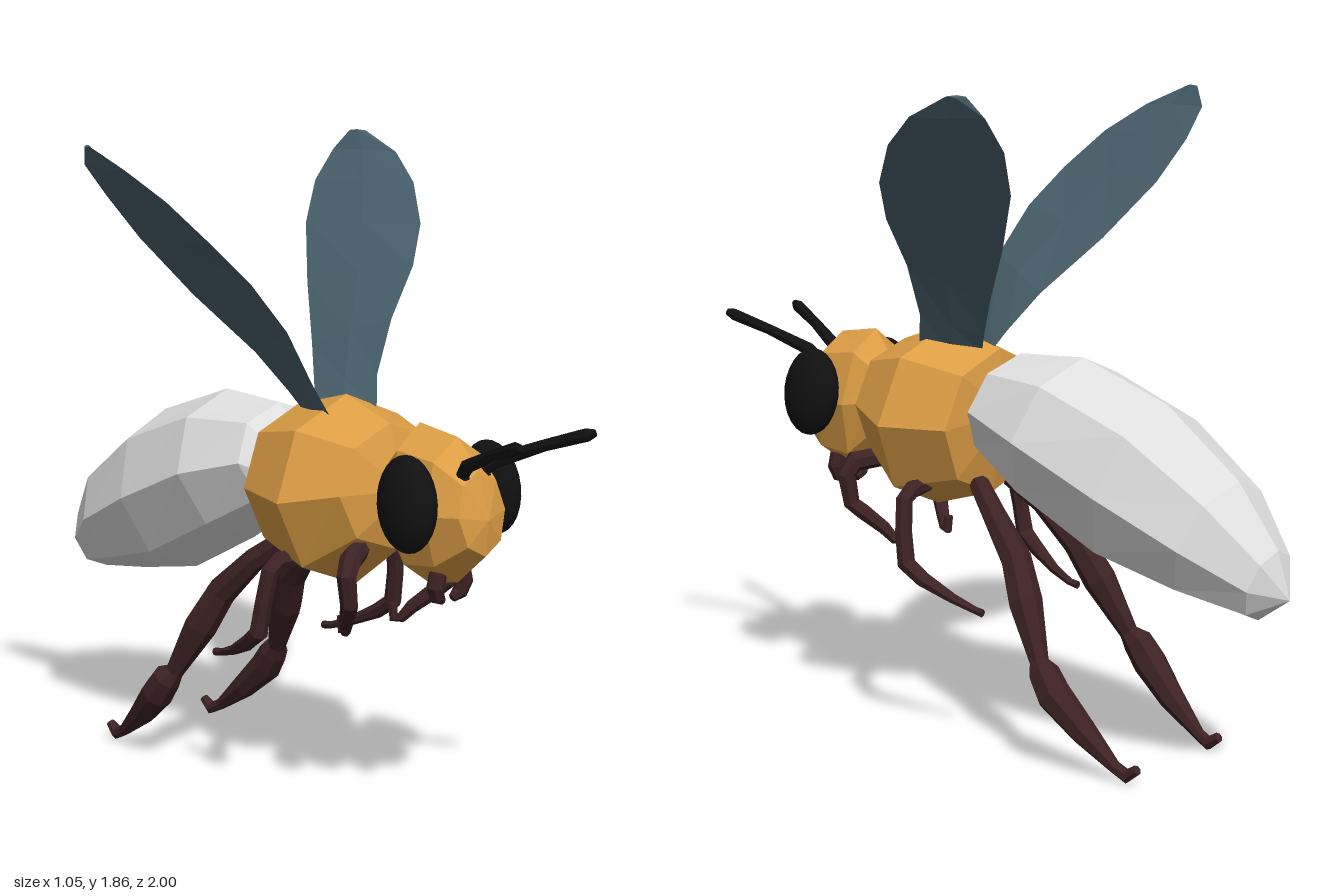
import * as THREE from 'three';

const V = (x, y, z) => new THREE.Vector3(x, y, z);
const mat = (name, color, opts = {}) => {
  const m = new THREE.MeshStandardMaterial({ color, ...opts });
  m.name = name;
  return m;
};

// Faceted skin over a row of closed rings, with a fan to a centre point at each end
function loft(rings, start, end) {
  const pos = [];
  const tri = (...pts) => pts.forEach((p) => pos.push(p.x, p.y, p.z));
  const n = rings[0].length;
  const mid = (r) => r.reduce((a, p) => a.add(p), V(0, 0, 0)).divideScalar(n);
  const first = rings[0], last = rings[rings.length - 1];
  const c0 = start || mid(first), c1 = end || mid(last);
  for (let j = 0; j < n; j++) {
    const k = (j + 1) % n;
    tri(c0, first[k], first[j]);
    for (let i = 0; i < rings.length - 1; i++) {
      const a = rings[i], b = rings[i + 1];
      tri(a[j], a[k], b[j]);
      tri(a[k], b[k], b[j]);
    }
    tri(c1, last[j], last[k]);
  }
  const g = new THREE.BufferGeometry();
  g.setAttribute('position', new THREE.Float32BufferAttribute(pos, 3));
  g.computeVertexNormals();
  return g;
}

// Point ring around a centre, u and v being the half axes
const ring = (c, u, v, n) => Array.from({ length: n }, (_, j) => {
  const a = (j / n) * Math.PI * 2;
  return c.clone().addScaledVector(u, Math.cos(a)).addScaledVector(v, Math.sin(a));
});

// Eight-sided body section rows: [top z, top y, bottom z, bottom y, half width]
function body(rows, start, end) {
  const rings = rows.map(([tz, ty, bz, by, w]) =>
    ring(V(0, (ty + by) / 2, (tz + bz) / 2), V(0, (ty - by) / 2, (tz - bz) / 2), V(w, 0, 0), 8));
  return loft(rings, V(0, ...start), V(0, ...end));
}

// Limb with varying thickness, rows: [x, y, z, radius]
function limb(rows, side, n = 7) {
  const pts = rows.map(([x, y, z]) => V(x * side, y, z));
  let u = null;
  const rings = pts.map((p, i) => {
    const t = pts[Math.min(i + 1, pts.length - 1)].clone().sub(pts[Math.max(i - 1, 0)]).normalize();
    if (!u) u = Math.abs(t.z) < 0.8 ? V(0, 0, 1) : V(0, 1, 0);
    u = u.clone().addScaledVector(t, -u.dot(t)).normalize();
    const r = rows[i][3];
    return ring(p, u.clone().multiplyScalar(r), t.clone().cross(u).multiplyScalar(r), n);
  });
  return loft(rings);
}

// Thin blade, rows: [front edge, back edge]
function blade(rows, side) {
  const edges = rows.map((r) => r.map(([x, y, z]) => V(x * side, y, z)));
  const mids = edges.map(([f, b]) => f.clone().add(b).multiplyScalar(0.5));
  const rings = edges.map(([f, b], i) => {
    const t = mids[Math.min(i + 1, mids.length - 1)].clone().sub(mids[Math.max(i - 1, 0)]);
    const u = f.clone().sub(b).multiplyScalar(0.5);
    return ring(mids[i], u, t.cross(u).normalize().multiplyScalar(0.006), 4);
  });
  return loft(rings);
}

const FRONT_LEG = [
  [0.11, 0.77, 0.38, 0.03], [0.18, 0.76, 0.42, 0.032], [0.205, 0.72, 0.43, 0.028],
  [0.19, 0.635, 0.425, 0.025], [0.17, 0.61, 0.4, 0.024], [0.13, 0.56, 0.35, 0.02],
  [0.11, 0.525, 0.325, 0.015], [0.1, 0.52, 0.305, 0.014], [0.1, 0.565, 0.3, 0.014],
];
const MIDDLE_LEG = [
  [0.12, 0.72, 0.18, 0.025], [0.21, 0.715, 0.16, 0.026], [0.245, 0.69, 0.16, 0.025],
  [0.26, 0.6, 0.15, 0.025], [0.265, 0.51, 0.135, 0.027], [0.255, 0.47, 0.08, 0.023],
  [0.23, 0.425, -0.01, 0.015], [0.215, 0.4, -0.08, 0.011], [0.215, 0.395, -0.11, 0.012],
];
const HIND_LEG = [
  [0.07, 0.73, 0.03, 0.03], [0.11, 0.66, -0.06, 0.035], [0.14, 0.55, -0.17, 0.045],
  [0.17, 0.44, -0.23, 0.05], [0.205, 0.29, -0.31, 0.028], [0.215, 0.265, -0.335, 0.045],
  [0.22, 0.21, -0.375, 0.05], [0.205, 0.12, -0.47, 0.038], [0.195, 0.04, -0.57, 0.018],
  [0.19, 0.02, -0.61, 0.02], [0.19, 0.045, -0.645, 0.014],
];
const ANTENNA = [
  [0.035, 0.97, 0.72, 0.014], [0.04, 1.02, 0.7, 0.02], [0.055, 1.05, 0.73, 0.02],
  [0.1, 1.105, 0.86, 0.016], [0.138, 1.145, 0.975, 0.018], [0.146, 1.152, 0.995, 0.01],
];
const MANDIBLE = [
  [0.045, 0.74, 0.62, 0.025], [0.055, 0.7, 0.62, 0.026], [0.045, 0.67, 0.615, 0.022], [0.02, 0.655, 0.61, 0.012],
];
const WING = [
  [[0.09, 1.12, 0.24], [0.02, 1.1, 0.06]],
  [[0.125, 1.21, 0.205], [0.05, 1.16, 0.025]],
  [[0.2, 1.36, 0.185], [0.11, 1.27, -0.05]],
  [[0.31, 1.5, 0.16], [0.22, 1.43, -0.19]],
  [[0.4, 1.61, 0.1], [0.32, 1.59, -0.305]],
  [[0.47, 1.72, 0.0], [0.4, 1.71, -0.35]],
  [[0.515, 1.8, -0.12], [0.475, 1.8, -0.35]],
  [[0.525, 1.857, -0.26], [0.505, 1.857, -0.31]],
];

export function createModel() {
  const group = new THREE.Group();
  const amber = mat('amber', 0xdd9e45);
  const pale = mat('pale grey', 0xdedede);
  const brown = mat('dark brown', 0x3d2224);
  const black = mat('black', 0x111111);
  const slate = mat('slate blue', 0x48606b, { side: THREE.DoubleSide });
  const add = (name, geo, material) => {
    const mesh = new THREE.Mesh(geo, material);
    mesh.name = name;
    group.add(mesh);
    return mesh;
  };

  // Body segments
  add('head', body([
    [0.72, 1.03, 0.75, 0.8, 0.09], [0.64, 1.11, 0.65, 0.71, 0.13],
    [0.5, 1.13, 0.54, 0.69, 0.13], [0.43, 1.04, 0.45, 0.8, 0.09],
  ], [0.9, 0.76], [0.92, 0.41]), amber);
  add('thorax', body([
    [0.385, 1.11, 0.405, 0.76, 0.2], [0.21, 1.17, 0.25, 0.63, 0.28], [0.01, 1.115, 0.04, 0.69, 0.22],
  ], [0.93, 0.45], [0.93, -0.02]), amber);
  add('abdomen', body([
    [-0.01, 1.05, 0.01, 0.83, 0.15], [-0.07, 1.11, 0, 0.81, 0.19], [-0.3, 1.12, -0.18, 0.69, 0.245],
    [-0.59, 1.02, -0.45, 0.55, 0.235], [-0.83, 0.84, -0.7, 0.5, 0.19], [-0.96, 0.67, -0.9, 0.47, 0.1],
  ], [0.94, 0.01], [0.54, -1]), pale);

  // Paired parts
  for (const [label, s] of [['left', 1], ['right', -1]]) {
    const eye = add(label + 'Eye', new THREE.SphereGeometry(1, 20, 14), black);
    eye.scale.set(0.06, 0.132, 0.098);
    eye.position.set(0.162 * s, 0.945, 0.615);
    eye.rotation.set(-0.12, 0, 0.05 * s);
    add(label + 'Antenna', limb(ANTENNA, s, 8), black);
    add(label + 'Mandible', limb(MANDIBLE, s), brown);
    add(label + 'FrontLeg', limb(FRONT_LEG, s), brown);
    add(label + 'MiddleLeg', limb(MIDDLE_LEG, s), brown);
    add(label + 'HindLeg', limb(HIND_LEG, s), brown);
    add(label + 'Wing', blade(WING, s), slate);
  }
  return group;
}
